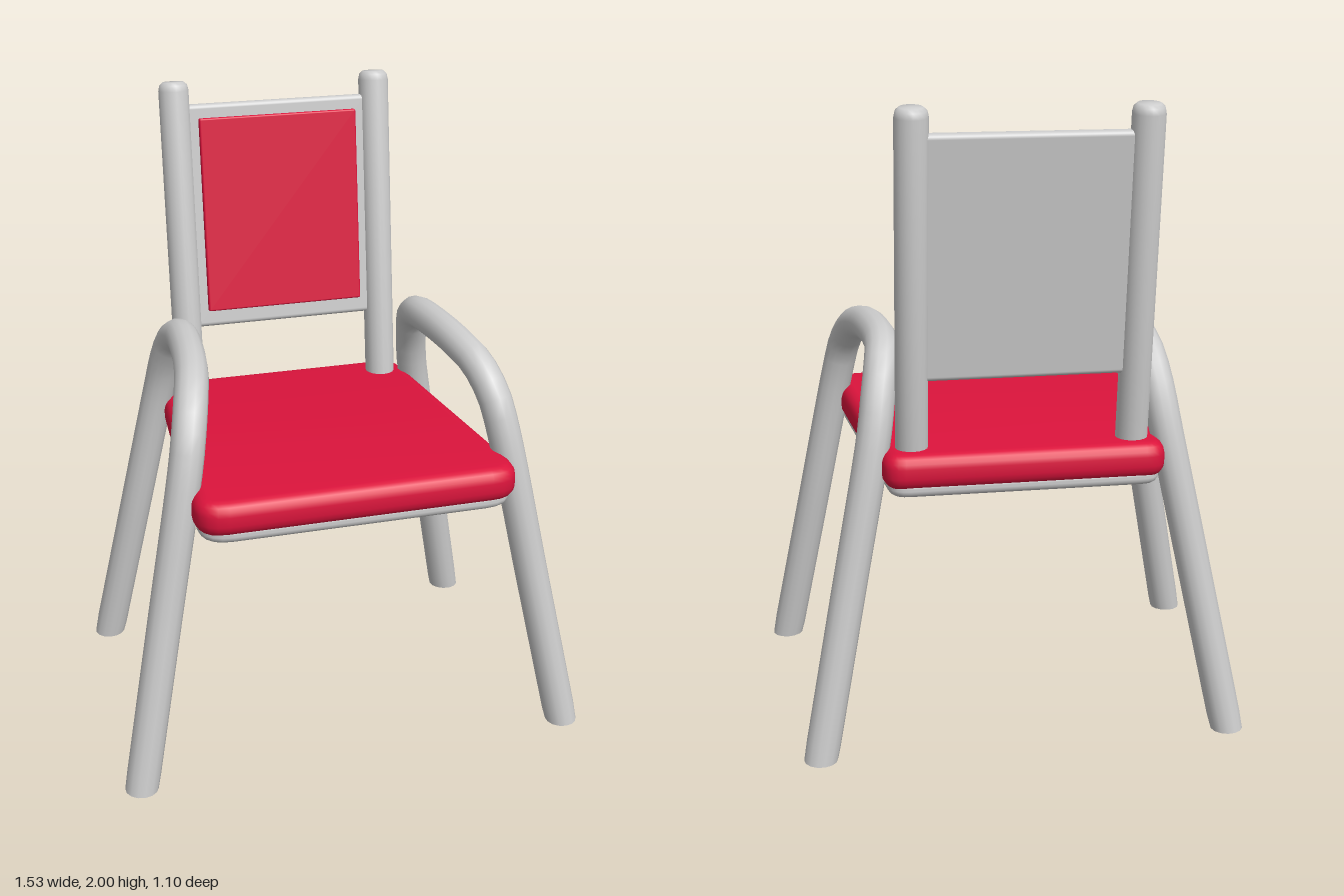
import * as THREE from 'three';
import { toCreasedNormals } from 'three/addons/utils/BufferGeometryUtils.js';
import { RoundedBoxGeometry } from 'three/addons/geometries/RoundedBoxGeometry.js';

const material = (name, color) => {
  const m = new THREE.MeshStandardMaterial({ color });
  m.name = name;
  return m;
};

function addMesh(parent, name, geometry, mat, x = 0, y = 0, z = 0) {
  const mesh = new THREE.Mesh(geometry, mat);
  mesh.name = name;
  mesh.position.set(x, y, z);
  parent.add(mesh);
  return mesh;
}

// Tapered slab with rounded corners and edges, its outline shrunk by inset
function slab(inset, height, bevel) {
  const front = 0.54 - inset, back = 0.475 - inset;
  const wf = 0.515 - inset, wb = 0.43 - inset, r = 0.1, q = 0.06;
  const s = new THREE.Shape();
  s.moveTo(-wf + r, -front);
  s.lineTo(wf - r, -front);
  s.quadraticCurveTo(wf, -front, wf - 0.005, -front + r);
  s.lineTo(wb + 0.005, back - q);
  s.quadraticCurveTo(wb, back, wb - q, back);
  s.lineTo(-wb + q, back);
  s.quadraticCurveTo(-wb, back, -wb - 0.005, back - q);
  s.lineTo(-wf + 0.005, -front + r);
  s.quadraticCurveTo(-wf, -front, -wf + r, -front);
  const g = new THREE.ExtrudeGeometry(s, {
    depth: height - 2 * bevel, bevelThickness: bevel, bevelSize: bevel,
    bevelOffset: -bevel, bevelSegments: 4, curveSegments: 5,
  });
  g.translate(0, 0, bevel).rotateX(-Math.PI / 2);
  return toCreasedNormals(g, 0.7);
}

// One bent tube forms front leg, armrest and back leg; side is +1 or -1
function sideFrame(side, mat) {
  const group = new THREE.Group();
  group.name = side > 0 ? 'leftLegsAndArm' : 'rightLegsAndArm';
  const path = [
    [0.71, 0, 0.5], [0.607, 0.525, 0.43], [0.508, 1.03, 0.363], [0.487, 1.13, 0.325],
    [0.462, 1.205, 0.245], [0.44, 1.235, 0.15], [0.42, 1.25, 0], [0.408, 1.24, -0.18],
    [0.418, 1.2, -0.26], [0.435, 1.11, -0.315], [0.452, 1.0, -0.35],
    [0.551, 0.5, -0.415], [0.65, 0, -0.48],
  ].map(([x, y, z]) => new THREE.Vector3(x * side, y, z));
  const radius = 0.053, sides = 14;
  const tube = new THREE.TubeGeometry(new THREE.CatmullRomCurve3(path), 56, radius, sides);
  // Cut both feet level with the floor
  const p = tube.attributes.position;
  for (let i = 0; i <= sides; i++) {
    p.setY(i, 0);
    p.setY(p.count - 1 - i, 0);
  }
  addMesh(group, 'legTube', tube, mat);
  for (const end of [path[0], path[path.length - 1]]) {
    const sole = new THREE.CircleGeometry(radius, sides).rotateX(Math.PI / 2);
    addMesh(group, 'footSole', sole, mat, end.x, 0, end.z);
  }
  return group;
}

export function createModel() {
  const red = material('red cushion', 0xdc143c);
  const grey = material('light grey frame', 0xcccccc);
  const chair = new THREE.Group();
  chair.name = 'armchair';

  // Seat
  addMesh(chair, 'seatCushion', slab(0, 0.11, 0.04), red, 0, 0.855, 0);
  addMesh(chair, 'seatBase', slab(0.015, 0.05, 0.022), grey, 0, 0.83, 0);

  // Legs with armrests
  for (const side of [1, -1]) chair.add(sideFrame(side, grey));

  // Leaning backrest
  const back = new THREE.Group();
  back.name = 'backrest';
  back.position.set(0, 0.96, -0.37);
  back.rotation.x = -Math.atan(0.122);
  chair.add(back);

  const profile = [[0, -0.04], [0.05, -0.04], [0.05, 1.015], [0.046, 1.033], [0.035, 1.043], [0, 1.043]]
    .map(([r, y]) => new THREE.Vector2(r, y));
  for (const x of [0.341, -0.341]) {
    const post = toCreasedNormals(new THREE.LatheGeometry(profile, 16), 0.9);
    addMesh(back, 'backPost', post, grey, x);
  }
  addMesh(back, 'backPanel', new RoundedBoxGeometry(0.62, 0.745, 0.042, 3, 0.015), grey, 0, 0.595, -0.002);
  addMesh(back, 'backCushion', new RoundedBoxGeometry(0.535, 0.645, 0.03, 2, 0.006), red, 0, 0.6, 0.019);
  return chair;
}
